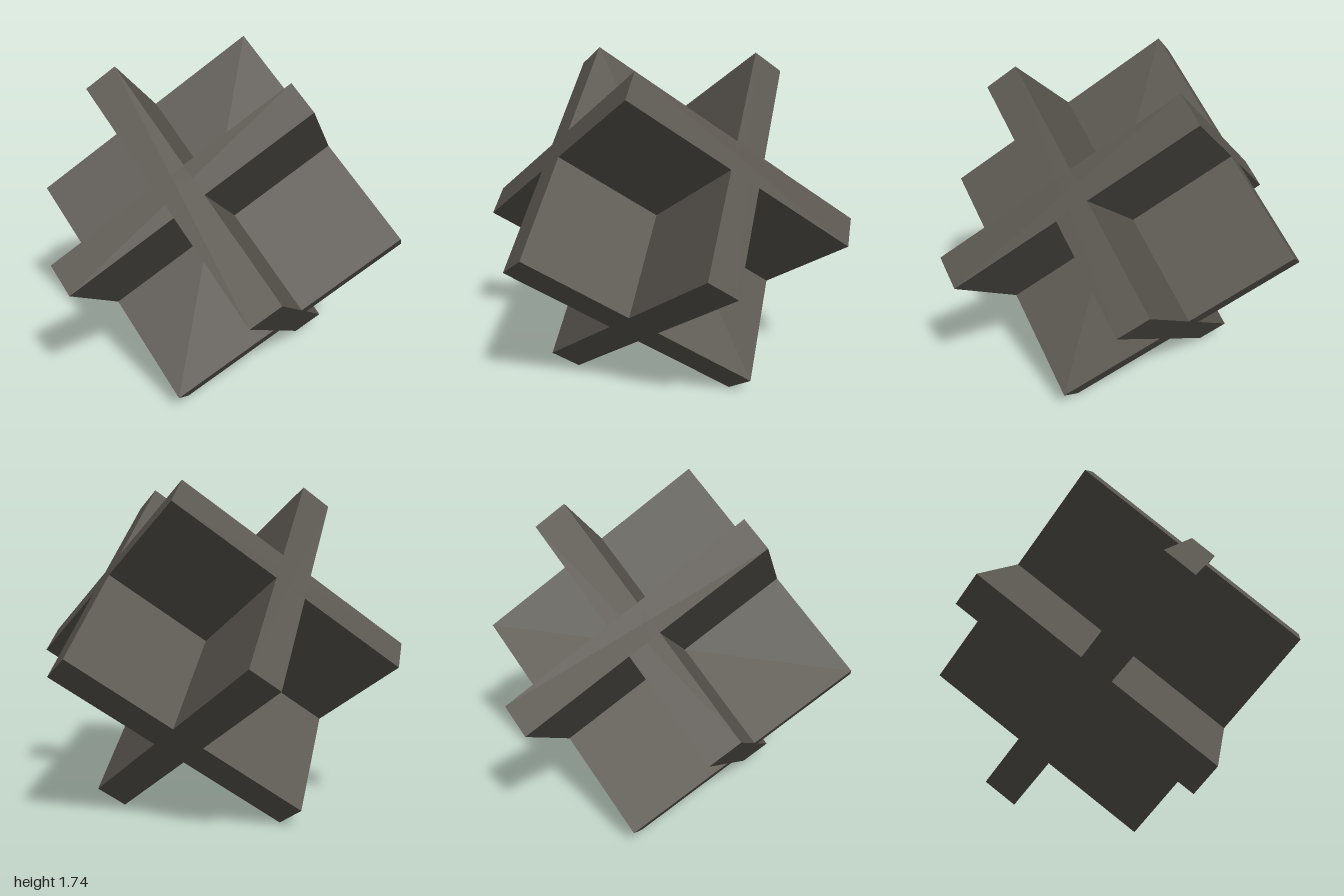
import * as THREE from 'three';

// Three equal square plates crossing at right angles, balanced on three corners.
export function createModel() {
  const side = Math.SQRT2;
  const thick = 0.178;
  const tilt = Math.atan(Math.SQRT1_2);
  const charcoal = new THREE.MeshStandardMaterial({ color: 0x5a564f });
  charcoal.name = 'warm charcoal';

  const model = new THREE.Group();
  model.name = 'crossedPlates';
  const body = new THREE.Group();
  body.name = 'plateCluster';

  // One plate across each local axis
  ['plateAcrossX', 'plateAcrossY', 'plateAcrossZ'].forEach((name, axis) => {
    const size = [side, side, side];
    size[axis] = thick;
    const plate = new THREE.Mesh(new THREE.BoxGeometry(...size), charcoal);
    plate.name = name;
    body.add(plate);
  });

  // Turn onto a diagonal, tilt about x, and lift to stand on y = 0
  body.rotation.set(tilt, 0, Math.PI / 4);
  body.position.y = Math.cos(tilt) + (thick / 2) * Math.sin(tilt);
  model.add(body);
  return model;
}
